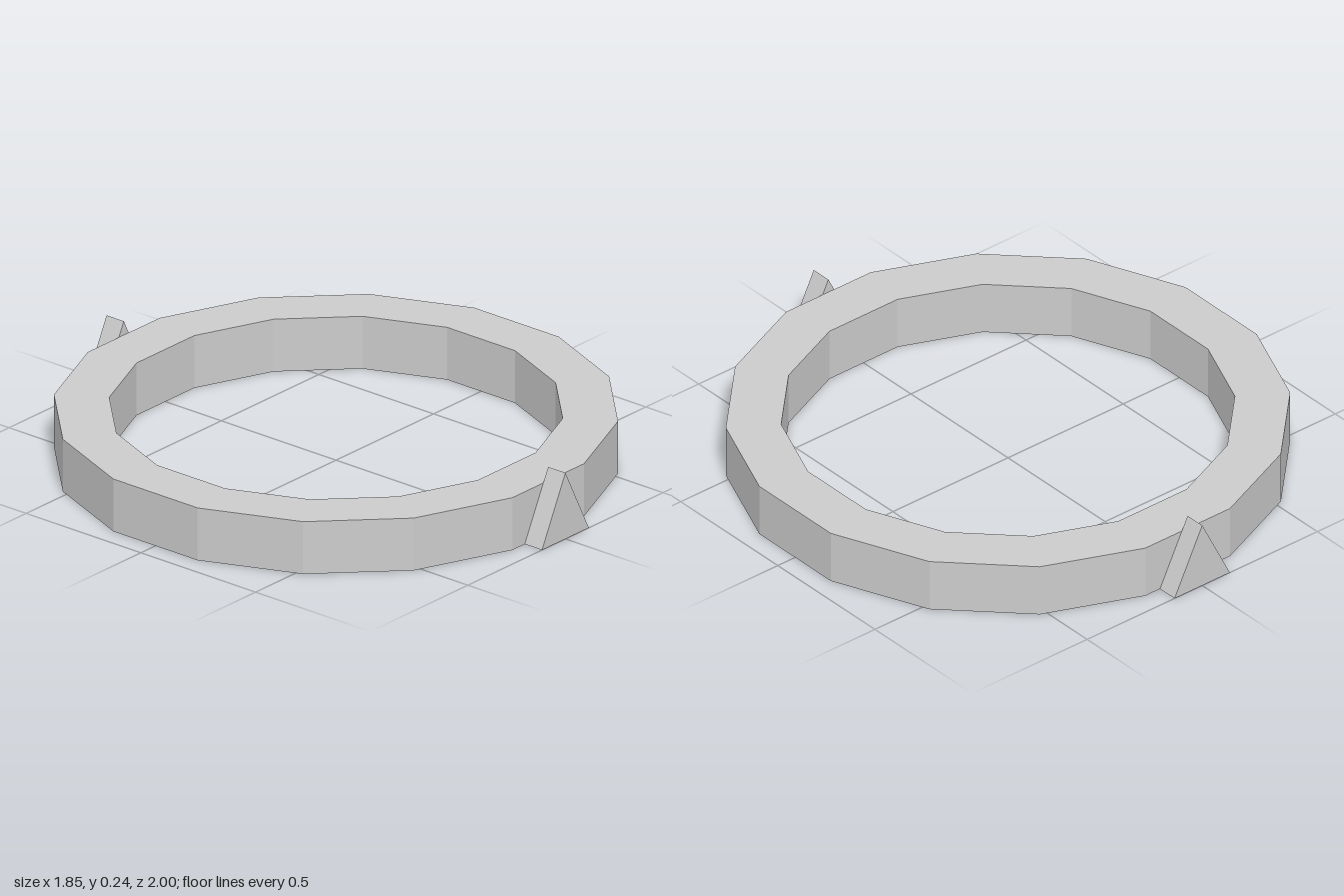
import * as THREE from 'three';

const SIDES = 16, OUTER = 0.943, INNER = 0.758, HEIGHT = 0.19;

// Corners of a regular polygon with a flat side facing each axis
function polygon(radius) {
  return Array.from({ length: SIDES }, (_, i) => {
    const a = ((i + 0.5) / SIDES) * Math.PI * 2;
    return new THREE.Vector2(Math.cos(a) * radius, Math.sin(a) * radius);
  });
}

export function createModel() {
  const model = new THREE.Group();
  model.name = 'ringWithPointers';
  const material = new THREE.MeshStandardMaterial({ color: 0xcccccc, flatShading: true });

  // Faceted ring lying flat
  const ringShape = new THREE.Shape(polygon(OUTER));
  ringShape.holes.push(new THREE.Path(polygon(INNER)));
  const ringGeometry = new THREE.ExtrudeGeometry(ringShape, { depth: HEIGHT, bevelEnabled: false });
  ringGeometry.rotateX(-Math.PI / 2);
  const ring = new THREE.Mesh(ringGeometry, material);
  ring.name = 'ring';
  model.add(ring);

  // Triangular pointers on the front and back flats
  const inner = OUTER * Math.cos(Math.PI / SIDES);
  const triangle = new THREE.Shape([
    new THREE.Vector2(-0.12, 0),
    new THREE.Vector2(0.12, 0),
    new THREE.Vector2(0, 0.24),
  ]);
  const pointerGeometry = new THREE.ExtrudeGeometry(triangle, { depth: 1 - inner, bevelEnabled: false });
  pointerGeometry.translate(0, 0, inner);
  ['frontPointer', 'backPointer'].forEach((name, i) => {
    const pointer = new THREE.Mesh(pointerGeometry, material);
    pointer.name = name;
    pointer.rotation.y = i * Math.PI;
    model.add(pointer);
  });

  return model;
}
